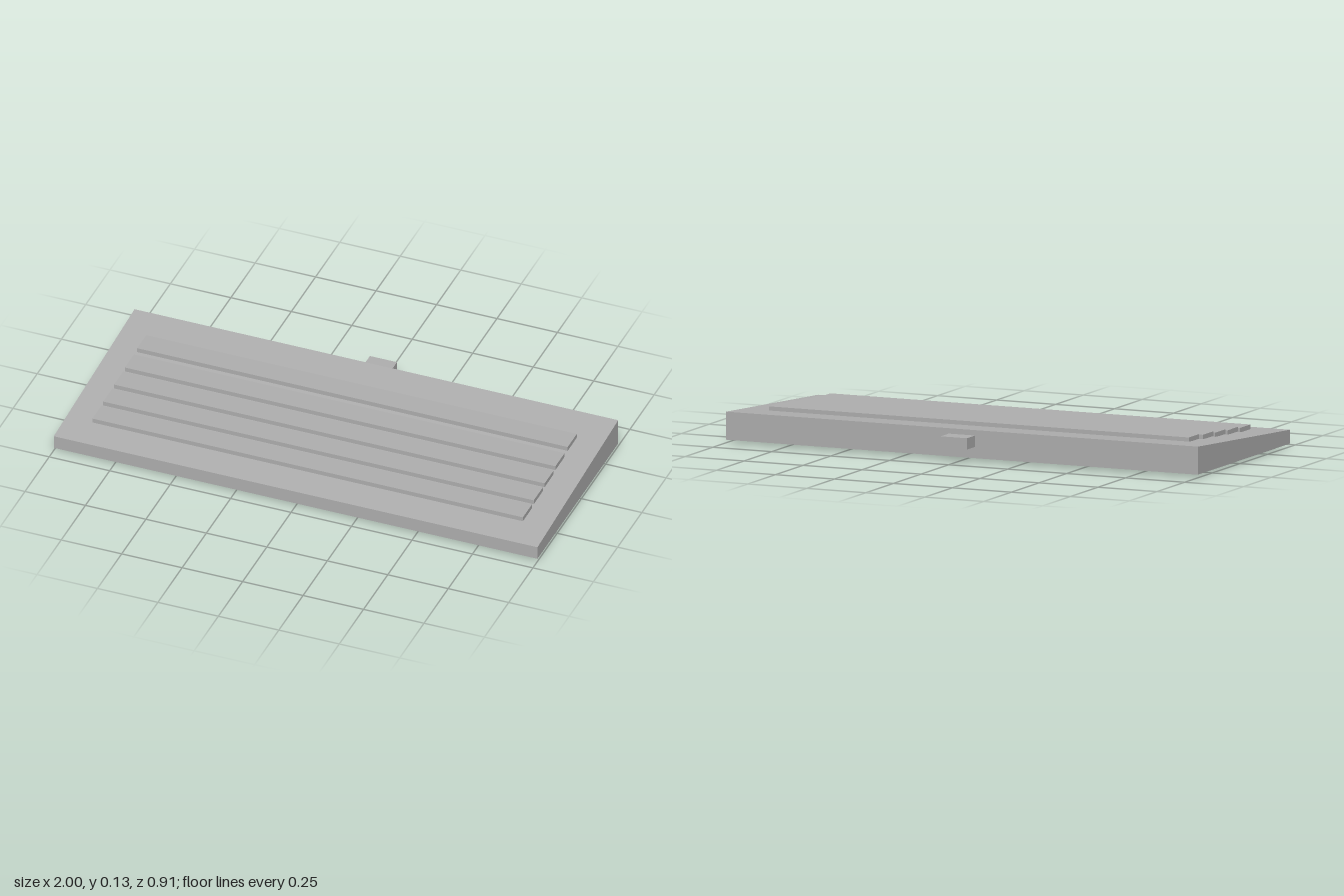
import * as THREE from 'three';

export function createModel() {
  const group = new THREE.Group();
  const grey = new THREE.MeshStandardMaterial({ color: 0xb0b0b0 });
  grey.name = 'grey';

  // Box given by its extents on each axis
  function addBox(name, [x0, x1], [y0, y1], [z0, z1]) {
    const mesh = new THREE.Mesh(new THREE.BoxGeometry(x1 - x0, y1 - y0, z1 - z0), grey);
    mesh.position.set((x0 + x1) / 2, (y0 + y1) / 2, (z0 + z1) / 2);
    mesh.name = name;
    group.add(mesh);
  }

  // Wedge-shaped case: side profile (z, y) extruded across the width
  const profile = new THREE.Shape([
    new THREE.Vector2(-0.453, 0.012),
    new THREE.Vector2(0.38, 0.012),
    new THREE.Vector2(0.38, 0.121),
    new THREE.Vector2(-0.453, 0.066),
  ]);
  const caseGeometry = new THREE.ExtrudeGeometry(profile, { depth: 2, bevelEnabled: false });
  caseGeometry.rotateY(Math.PI / 2).translate(-1, 0, 0);
  const body = new THREE.Mesh(caseGeometry, grey);
  body.name = 'case';
  group.add(body);

  // Key rows, stepping up towards the back: [centre z, bottom y]
  const rows = [[0.282, 0.079], [0.17, 0.086], [0.058, 0.093], [-0.053, 0.101], [-0.18, 0.109]];
  rows.forEach(([z, y], i) =>
    addBox(`keyRow${i + 1}`, [-0.89, 0.89], [y, y + 0.018], [z - 0.047, z + 0.047]));

  // Four feet
  for (const [side, x] of [['left', 0.82], ['right', -0.82]])
    for (const [end, z] of [['Front', 0.329], ['Back', -0.255]])
      addBox(`${side}${end}Foot`, [x - 0.072, x + 0.072], [0, 0.012], [z - 0.041, z + 0.041]);

  // Cable socket at the back
  addBox('cableSocket', [-0.056, 0.056], [0.056, 0.1], [-0.453, -0.38]);

  return group;
}
